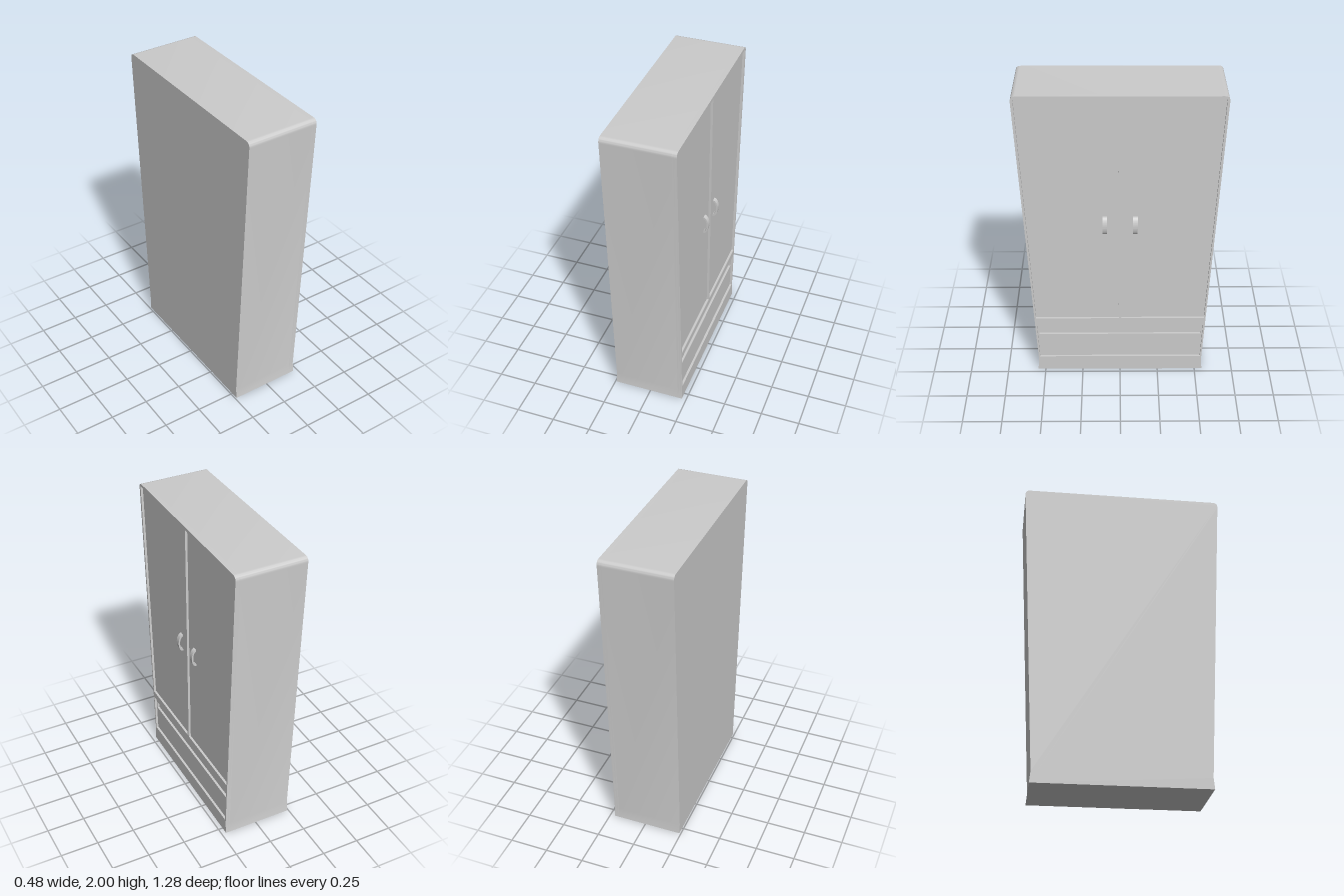
import * as THREE from 'three';
import { toCreasedNormals } from 'three/addons/utils/BufferGeometryUtils.js';

const material = new THREE.MeshStandardMaterial({ color: 0xcccccc });

// Extrude a (-z, y) shape along x, between two depths.
function slab(name, shape, x0, x1) {
  let geometry = new THREE.ExtrudeGeometry(shape, { depth: x1 - x0, bevelEnabled: false, curveSegments: 8 });
  geometry.rotateY(Math.PI / 2);
  geometry.translate(x0, 0, 0);
  geometry = toCreasedNormals(geometry, 0.6);
  const mesh = new THREE.Mesh(geometry, material);
  mesh.name = name;
  return mesh;
}

// Tapered cabinet silhouette with rounded top corners and a slight foot flare.
function outline() {
  const s = new THREE.Shape();
  s.moveTo(-0.55, 0);
  s.lineTo(0.55, 0);
  s.lineTo(0.543, 0.07);
  s.lineTo(0.641, 1.965);
  s.quadraticCurveTo(0.643, 2, 0.61, 2);
  s.lineTo(-0.61, 2);
  s.quadraticCurveTo(-0.643, 2, -0.641, 1.965);
  s.lineTo(-0.543, 0.07);
  s.closePath();
  return s;
}

const hole = (points) => new THREE.Path(points.map(([u, y]) => new THREE.Vector2(u, y)));

export function createModel() {
  const group = new THREE.Group();
  group.name = 'wardrobe';

  // Solid carcass
  group.add(slab('carcass', outline(), -0.24, 0.19));

  // Door and drawer faces, with the drawer's grip slot cut through
  const faces = outline();
  faces.holes.push(hole([[-0.533, 0.28], [-0.533, 0.33], [0.533, 0.33], [0.533, 0.28]]));
  group.add(slab('doorAndDrawerFaces', faces, 0.19, 0.205));

  // Raised front frame, open over both doors and the drawer
  const frame = outline();
  for (const s of [-1, 1]) {
    frame.holes.push(hole([[s * 0.008, 0.418], [s * 0.55, 0.418], [s * 0.626, 1.98], [s * 0.012, 1.98]]));
  }
  frame.holes.push(hole([[-0.535, 0.105], [-0.547, 0.37], [0.547, 0.37], [0.535, 0.105]]));
  group.add(slab('frontFrame', frame, 0.205, 0.22));

  // Arched door handles
  const arch = new THREE.Shape();
  arch.absellipse(0, 0, 0.032, 0.062, -Math.PI / 2, Math.PI / 2, false);
  arch.absellipse(0, 0, 0.022, 0.048, Math.PI / 2, -Math.PI / 2, true);
  arch.closePath();
  for (const [name, z] of [['leftHandle', 0.095], ['rightHandle', -0.095]]) {
    let geometry = new THREE.ExtrudeGeometry(arch, { depth: 0.03, bevelEnabled: false, curveSegments: 16 });
    geometry.translate(0, 0, -0.015);
    geometry = toCreasedNormals(geometry, 0.6);
    const handle = new THREE.Mesh(geometry, material);
    handle.name = name;
    handle.position.set(0.204, 1.12, z);
    group.add(handle);
  }
  return group;
}
